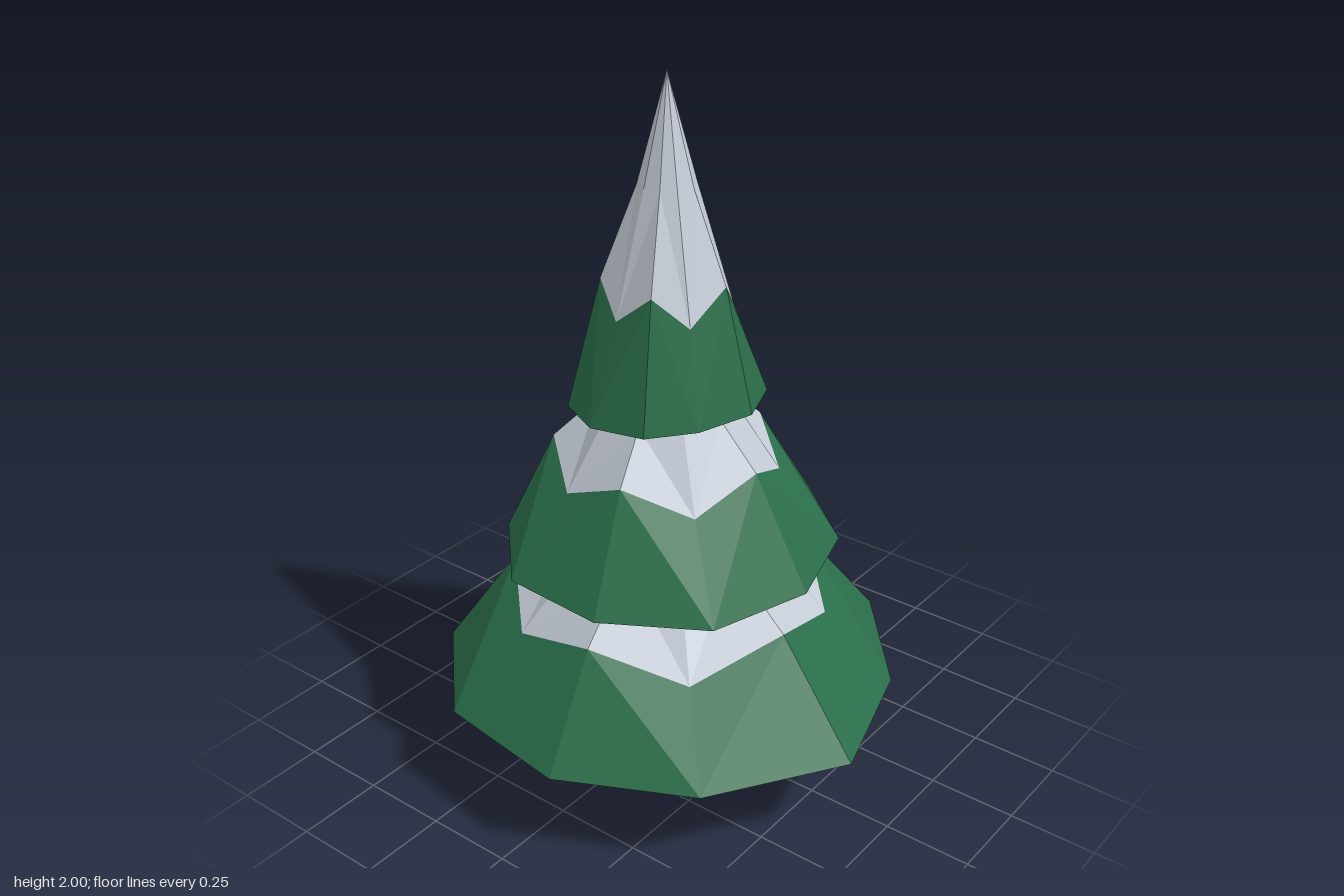
import * as THREE from 'three';

const mat = (name, color) => {
  const m = new THREE.MeshStandardMaterial({ color, flatShading: true });
  m.name = name;
  return m;
};

// Uneven ten-sided tiers. rim: [x, z] corners from the back, turning towards the left side;
// plane: rim height at the middle, slope along x, slope along z;
// snow: radius of the snow edge, height at even corners, height at odd corners;
// upper: round rings above the snow edge as [y, radius]
const TIERS = [
  {
    name: 'lowerTier', cx: -0.02, plane: [0.264, -0.012, 0.008], snow: [0.45, 0.47, 0.555],
    upper: [[0.7, 0.245], [0.74, 0.2]],
    rim: [[0.08, -0.705], [0.47, -0.5], [0.67, -0.11], [0.59, 0.31], [0.27, 0.58],
      [-0.13, 0.7], [-0.49, 0.47], [-0.67, 0.11], [-0.61, -0.295], [-0.325, -0.58]],
  },
  {
    name: 'middleTier', cx: -0.03, plane: [0.687, 0.01, -0.012], snow: [0.31, 0.9, 0.98],
    upper: [[1.1, 0.185], [1.14, 0.145]],
    rim: [[-0.01, -0.46], [0.27, -0.36], [0.42, -0.12], [0.43, 0.17], [0.24, 0.4],
      [-0.05, 0.485], [-0.34, 0.395], [-0.5, 0.13], [-0.485, -0.17], [-0.275, -0.375]],
  },
  {
    name: 'topTier', cx: -0.025, plane: [1.104, 0, 0.045], snow: [0.175, 1.375, 1.46],
    upper: [[1.71, 0.078], [2, 0]],
    rim: [[-0.055, -0.24], [0.09, -0.21], [0.225, -0.115], [0.24, 0.05], [0.165, 0.195],
      [0.01, 0.255], [-0.155, 0.205], [-0.265, 0.11], [-0.29, -0.05], [-0.215, -0.19]],
  },
];

// Flat-shaded geometry from a list of triangles
function facets(triangles) {
  const g = new THREE.BufferGeometry();
  g.setAttribute('position', new THREE.Float32BufferAttribute(triangles.flat(2), 3));
  g.computeVertexNormals();
  return g;
}

// Skin between successive rings; diagonals follow the zigzag from even to odd corners
function skin(rings) {
  const tris = [];
  for (let k = 0; k + 1 < rings.length; k++) {
    const a = rings[k], b = rings[k + 1];
    a.forEach((p, i) => {
      const j = (i + 1) % a.length;
      if (i % 2) tris.push([a[j], p, b[i]], [a[j], b[i], b[j]]);
      else tris.push([a[j], p, b[j]], [p, b[i], b[j]]);
    });
  }
  return facets(tris);
}

function makeTier({ name, cx, plane, snow, upper, rim }, green, darkGreen, white) {
  const [y0, slopeX, slopeZ] = plane;
  const [snowRadius, lowY, highY] = snow;
  const base = rim.map(([x, z]) => [x, y0 + slopeX * x + slopeZ * z, z]);
  // Point at a given radius in the direction of a rim corner
  const toward = ([x, z], y, r) => {
    const k = r / Math.hypot(x - cx, z);
    return [cx + (x - cx) * k, y, z * k];
  };
  const edge = rim.map((p, i) => toward(p, i % 2 ? highY : lowY, snowRadius));
  const top = upper.map(([y, r]) => rim.map((p) => toward(p, y, r)));
  const hub = [cx, y0, 0];
  const fan = base.map((p, i) => [hub, p, base[(i + 1) % base.length]]);

  const tier = new THREE.Group();
  tier.name = name;
  const add = (part, geometry, material) => {
    const m = new THREE.Mesh(geometry, material);
    m.name = part;
    tier.add(m);
  };
  add('branches', skin([base, edge]), green);
  add('underside', facets(fan), darkGreen);
  add('snowCap', skin([edge, ...top]), white);
  return tier;
}

export function createModel() {
  const green = mat('pineGreen', 0x2a6e4a);
  const darkGreen = mat('shadedGreen', 0x1b4532);
  const white = mat('snow', 0xc4cbd5);
  const bark = mat('bark', 0x4d342c);

  const tree = new THREE.Group();
  tree.name = 'snowyPineTree';

  // Six-sided trunk with a flared foot
  const profile = [[0, 0], [0.145, 0], [0.105, 0.11], [0.097, 0.32]].map(([r, y]) => new THREE.Vector2(r, y));
  const trunk = new THREE.Mesh(new THREE.LatheGeometry(profile, 6, Math.PI / 2), bark);
  trunk.name = 'trunk';
  trunk.position.x = -0.03;
  tree.add(trunk);

  for (const t of TIERS) tree.add(makeTier(t, green, darkGreen, white));
  return tree;
}
